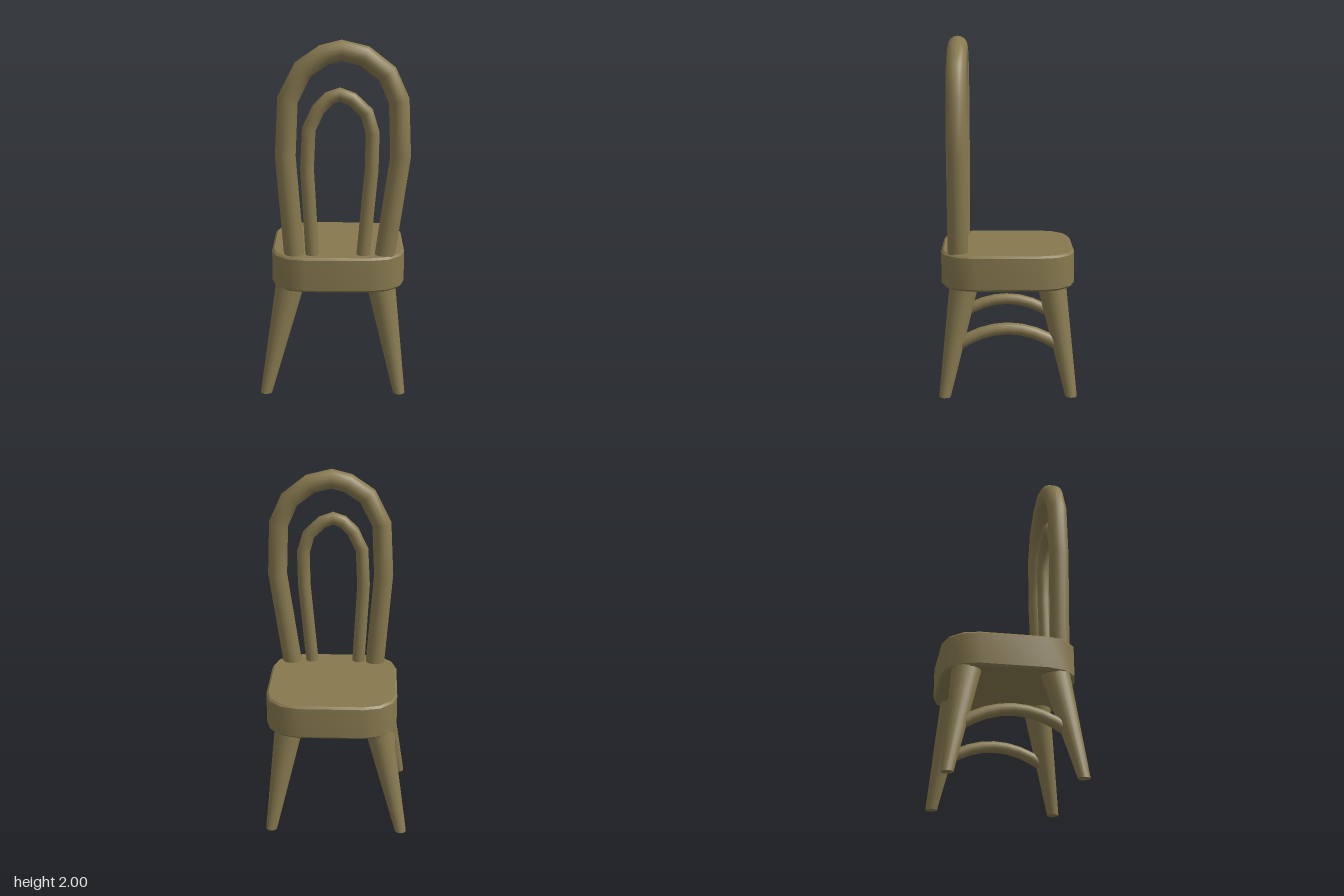
import * as THREE from 'three';
import { toCreasedNormals } from 'three/addons/utils/BufferGeometryUtils.js';

const wood = new THREE.MeshStandardMaterial({ color: 0x87794f });

function part(geometry, name) {
  const mesh = new THREE.Mesh(geometry, wood);
  mesh.name = name;
  return mesh;
}

// Bent rod with one ring of vertices at each given point
function bentRod(points, radius, name) {
  const path = new THREE.CatmullRomCurve3(points.map(p => new THREE.Vector3(...p)));
  path.getPointAt = (t, target) => path.getPoint(t, target);
  path.getTangentAt = (t, target) => path.getTangent(t, target);
  return part(new THREE.TubeGeometry(path, points.length - 1, radius, 16), name);
}

// Square seat with faceted round corners and a small edge bevel
function seat() {
  const bevel = 0.012, half = 0.377 - bevel, r = 0.18, inner = half - r;
  const outline = [];
  [[1, 1], [-1, 1], [-1, -1], [1, -1]].forEach(([sx, sy], k) => {
    for (let i = 0; i <= 3; i++) {
      const a = (k + i / 3) * Math.PI / 2;
      outline.push(new THREE.Vector2(sx * inner + r * Math.cos(a), sy * inner + r * Math.sin(a)));
    }
  });
  const geometry = new THREE.ExtrudeGeometry(new THREE.Shape(outline), {
    depth: 0.2 - 2 * bevel, bevelThickness: bevel, bevelSize: bevel, bevelSegments: 1,
  });
  geometry.rotateX(-Math.PI / 2);
  geometry.translate(0.03, 0.61 + bevel, 0);
  return part(toCreasedNormals(geometry, 0.6), 'seat');
}

// Tapered leg, leaning outwards with a flat foot
const legTop = s => (s < 0 ? -0.24 : 0.272);
function leg(sx, sz) {
  const height = 0.63;
  const geometry = new THREE.CylinderGeometry(0.083, 0.033, height, 16);
  geometry.translate(0, height / 2, 0);
  const p = geometry.attributes.position;
  for (let i = 0; i < p.count; i++) {
    const t = p.getY(i) / height;
    p.setX(i, p.getX(i) + THREE.MathUtils.lerp(sx * 0.38, legTop(sx), t));
    p.setZ(i, p.getZ(i) + sz * THREE.MathUtils.lerp(0.355, 0.245, t));
  }
  geometry.computeVertexNormals();
  return part(toCreasedNormals(geometry, 0.7), (sz > 0 ? 'back' : 'front') + (sx > 0 ? 'Left' : 'Right') + 'Leg');
}

// Arched rail joining the two legs of one side
function stretcher(sx) {
  const x = THREE.MathUtils.lerp(sx * 0.38, legTop(sx), 0.48);
  const points = [];
  for (let i = 0; i <= 8; i++) {
    const s = i / 4 - 1;
    points.push([x, 0.38 - 0.105 * s * s, 0.3 * s]);
  }
  return bentRod(points, 0.034, sx > 0 ? 'leftStretcher' : 'rightStretcher');
}

export function createModel() {
  const chair = new THREE.Group();
  chair.name = 'chair';
  const body = new THREE.Group();
  body.name = 'chairBody';
  body.rotation.y = THREE.MathUtils.degToRad(21);
  chair.add(body);

  body.add(seat());
  for (const sx of [-1, 1]) {
    body.add(leg(sx, -1), leg(sx, 1), stretcher(sx));
  }

  // Backrest: two nested hoops standing on the seat
  const atDepth = z => ([x, y]) => [x, y, z];
  const outer = [[-0.21, 0.72], [-0.26, 1.37], [-0.244, 1.68], [-0.16, 1.845], [-0.048, 1.92],
    [0.048, 1.945], [0.171, 1.915], [0.294, 1.82], [0.359, 1.675], [0.372, 1.37], [0.281, 0.72]];
  const inner = [[-0.11, 0.72], [-0.141, 1.3], [-0.13, 1.52], [-0.077, 1.63], [-0.018, 1.69],
    [0.04, 1.71], [0.105, 1.685], [0.185, 1.61], [0.217, 1.5], [0.214, 1.3], [0.163, 0.72]];
  body.add(bentRod(outer.map(atDepth(0.28)), 0.057, 'outerBackHoop'));
  body.add(bentRod(inner.map(atDepth(0.288)), 0.038, 'innerBackHoop'));
  return chair;
}
